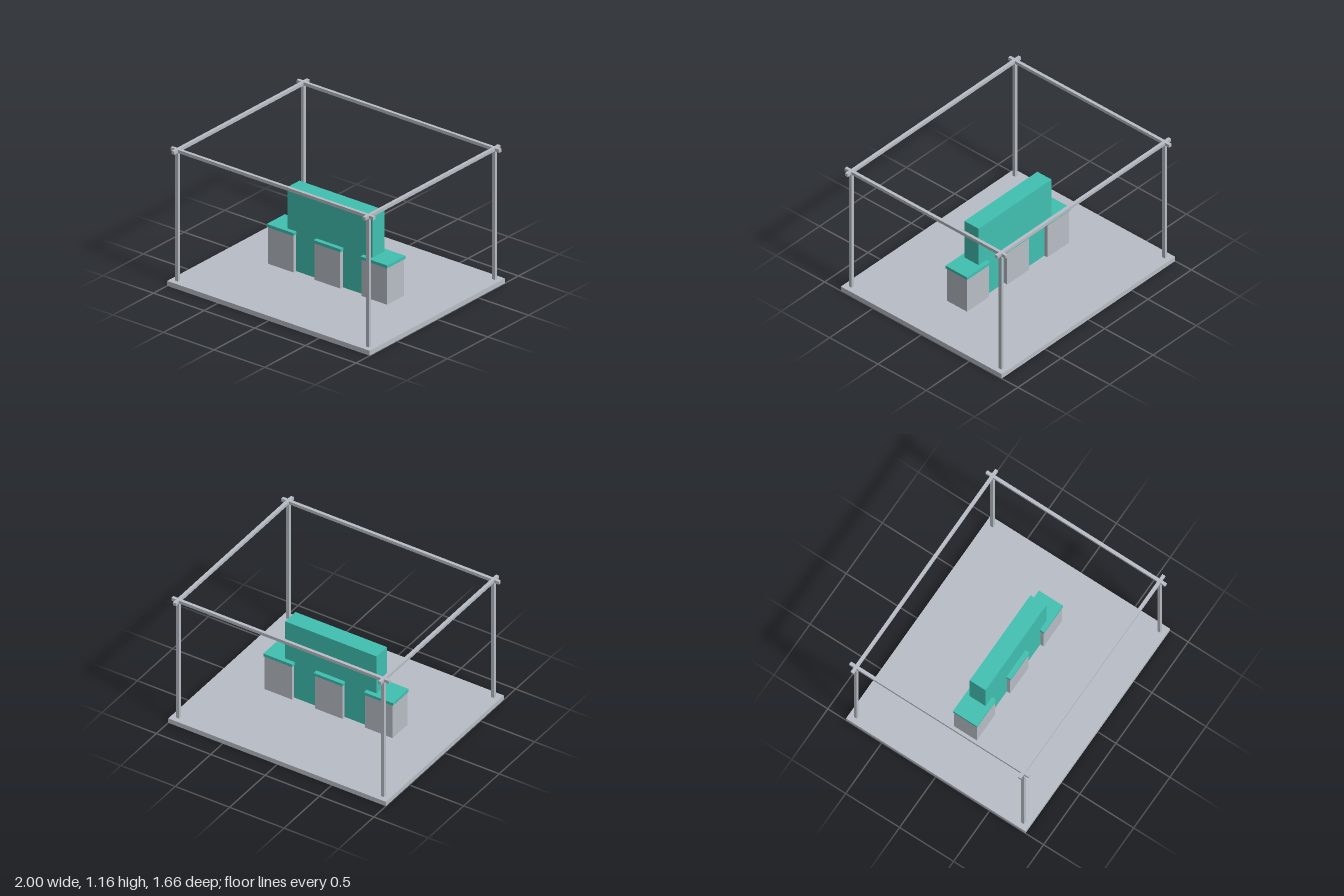
import * as THREE from 'three';

export function createModel() {
  const group = new THREE.Group();
  const grey = new THREE.MeshStandardMaterial({ color: 0xb9bec6 });
  grey.name = 'grey';
  const teal = new THREE.MeshStandardMaterial({ color: 0x41c1b3 });
  teal.name = 'teal';

  // Box centred on x and z, spanning y0 to y1
  function box(name, material, width, depth, y0, y1, x = 0, z = 0) {
    const mesh = new THREE.Mesh(new THREE.BoxGeometry(width, y1 - y0, depth), material);
    mesh.position.set(x, (y0 + y1) / 2, z);
    mesh.name = name;
    group.add(mesh);
  }

  const floorTop = 0.042, beamBottom = 1.138, beamTop = 1.165;
  const bar = 0.027, postX = 0.943, postZ = 0.775;

  // Floor and the central partition wall
  box('floor', grey, 2, 1.664, 0, floorTop);
  box('wall', teal, 0.84, 0.147, floorTop - 0.01, 0.734);

  // Three counters straddling the wall
  for (const x of [-0.463, 0, 0.463]) {
    box('counter', grey, 0.252, 0.21, floorTop, 0.356, x);
    box('counterTop', teal, 0.265, 0.224, 0.356, 0.381, x);
  }

  // Open frame: corner posts and overlapping top beams
  for (const sx of [-1, 1]) {
    for (const sz of [-1, 1]) box('post', grey, bar, bar, floorTop, beamBottom, sx * postX, sz * postZ);
    box('sideBeam', grey, bar, 1.664, beamBottom, beamTop, sx * postX);
  }
  for (const sz of [-1, 1]) box('crossBeam', grey, 2, bar, beamBottom, beamTop, 0, sz * postZ);

  return group;
}
